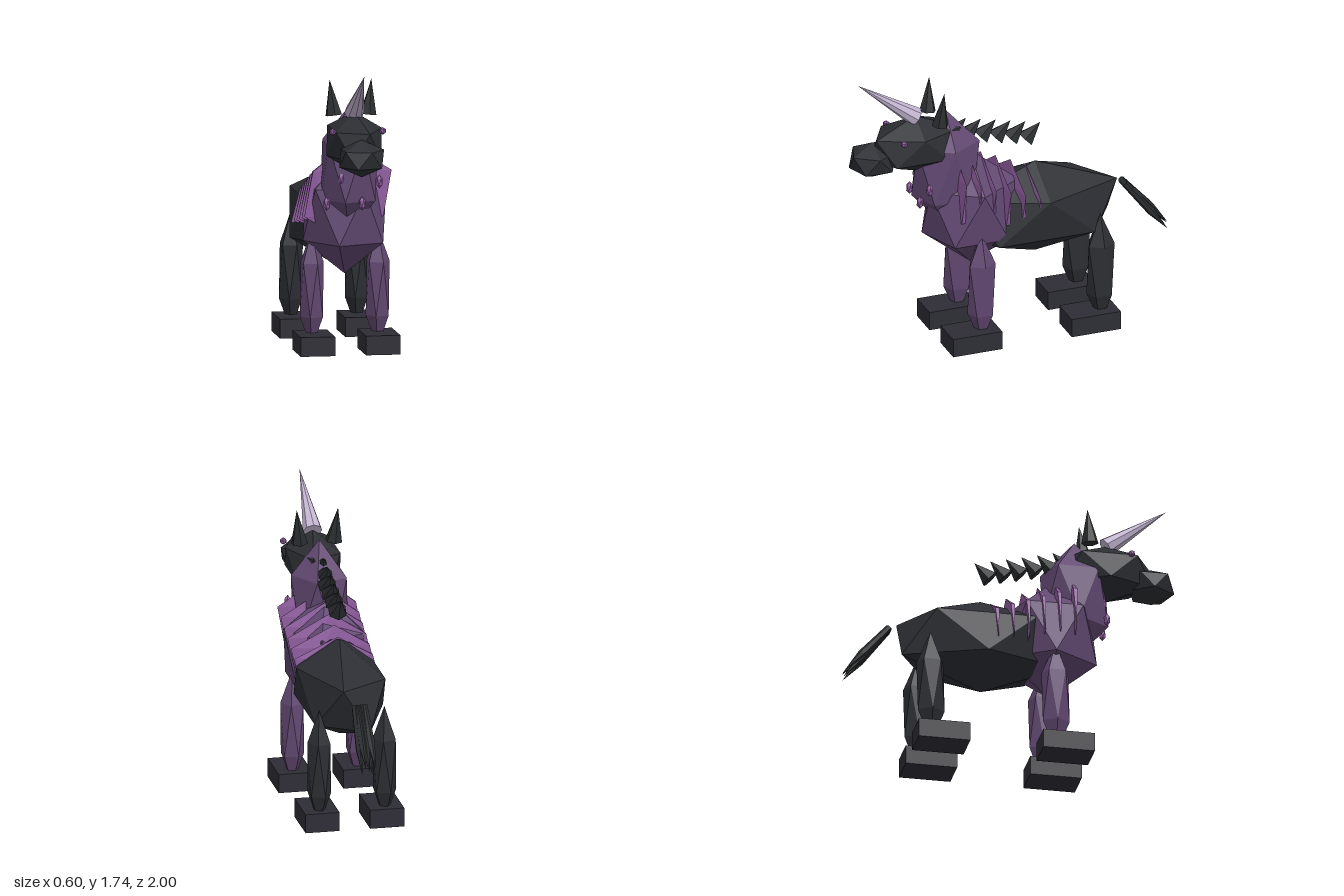
import * as THREE from 'three';

const paint = (name, color) => {
  const m = new THREE.MeshStandardMaterial({ color, flatShading: true });
  m.name = name;
  return m;
};

export function createModel() {
  const coat = paint('charcoal coat', 0x2c2e33);
  const hair = paint('dark hair', 0x292c2e);
  const hoofDark = paint('hoof slate', 0x2e2d36);
  const plum = paint('plum chest', 0x614871);
  const orchid = paint('orchid ribs', 0x8e5c9e);
  const ivory = paint('pale horn', 0xc2b4d0);

  const model = new THREE.Group();
  const add = (name, geometry, material, position = [0, 0, 0]) => {
    const mesh = new THREE.Mesh(geometry, material);
    mesh.name = name;
    mesh.position.set(...position);
    model.add(mesh);
    return mesh;
  };

  // Stretched icosahedron standing on a vertex
  const poleTilt = Math.atan(1 / 1.618034);
  const gem = (name, material, position, radii) =>
    add(name, new THREE.IcosahedronGeometry(1, 0).rotateZ(-poleTilt).scale(...radii), material, position);

  // Turn a mesh whose axis is +y so that it runs from one point to another
  const up = new THREE.Vector3(0, 1, 0);
  const aim = (mesh, from, to) => {
    const dir = new THREE.Vector3(...to).sub(new THREE.Vector3(...from)).normalize();
    mesh.quaternion.setFromUnitVectors(up, dir);
  };
  const spike = (name, material, from, to, radius, sides) => {
    const length = new THREE.Vector3(...from).distanceTo(new THREE.Vector3(...to));
    const geometry = new THREE.ConeGeometry(radius, length, sides).translate(0, length / 2, 0);
    aim(add(name, geometry, material, from), from, to);
  };

  // Trunk, neck and head
  gem('body', coat, [0, 0.753, -0.16], [0.293, 0.293, 0.576]);
  gem('chest', plum, [0, 0.825, 0.25], [0.28, 0.365, 0.325]);
  gem('neck', plum, [0, 1.1, 0.405], [0.192, 0.38, 0.23]);
  gem('head', coat, [0, 1.295, 0.595], [0.185, 0.18, 0.315]);
  gem('muzzle', coat, [0, 1.235, 0.865], [0.15, 0.112, 0.159]);

  // Horn
  spike('horn', ivory, [0, 1.47, 0.595], [0, 1.735, 0.96], 0.058, 8);

  for (const side of [-1, 1]) {
    // Ears and eyes
    spike('ear', hair, [side * 0.103, 1.44, 0.48], [side * 0.125, 1.65, 0.46], 0.052, 6);
    gem('eye', orchid, [side * 0.15, 1.375, 0.722], [0.022, 0.022, 0.022]);

    // Legs and hooves
    gem('frontLeg', plum, [side * 0.197, 0.37, 0.253], [0.08, 0.36, 0.095]);
    gem('backLeg', coat, [side * 0.197, 0.37, -0.5], [0.08, 0.36, 0.095]);
    for (const z of [0.315, -0.435])
      add('hoof', new THREE.BoxGeometry(0.206, 0.115, 0.31), hoofDark, [side * 0.195, 0.0575, z]);
  }

  // Crystals on the throat
  for (const p of [[-0.16, 0.925, 0.57], [0.05, 0.925, 0.585], [0.157, 1.05, 0.565], [-0.07, 1.07, 0.565]])
    gem('throatCrystal', orchid, p, [0.022, 0.042, 0.022]);

  // Thin ribs wrapped over the shoulders, shrinking toward the back
  for (let i = 0; i < 6; i++)
    gem('rib', orchid, [0, 0.955 - 0.027 * i, 0.37 - 0.094 * i], [0.292, 0.3 - 0.016 * i, 0.022]);

  // Row of mane spikes leaning back
  for (let i = 0; i < 7; i++) {
    const y = 1.2 + 0.022 * i, z = -0.1 + 0.094 * i;
    spike('maneSpike', hair, [0, y, z], [0, y + 0.095, z - 0.095], 0.06, 6);
  }

  // Tail strands: straight shafts with pointed ends
  const strand = [[0, 0], [0.02, 0], [0.024, 0.27], [0, 1]];
  for (let i = -2; i <= 2; i++) {
    const from = [i * 0.014, 0.815, -0.715];
    const to = [i * 0.02, 0.475 + 0.018 * ((i + 4) % 3), -0.995 + 0.006 * Math.abs(i)];
    const length = new THREE.Vector3(...from).distanceTo(new THREE.Vector3(...to));
    const points = strand.map(([r, t], k) => new THREE.Vector2(r, k === 2 ? 0.62 * length : t * length));
    aim(add('tailStrand', new THREE.LatheGeometry(points, 6), hair, from), from, to);
  }

  return model;
}
